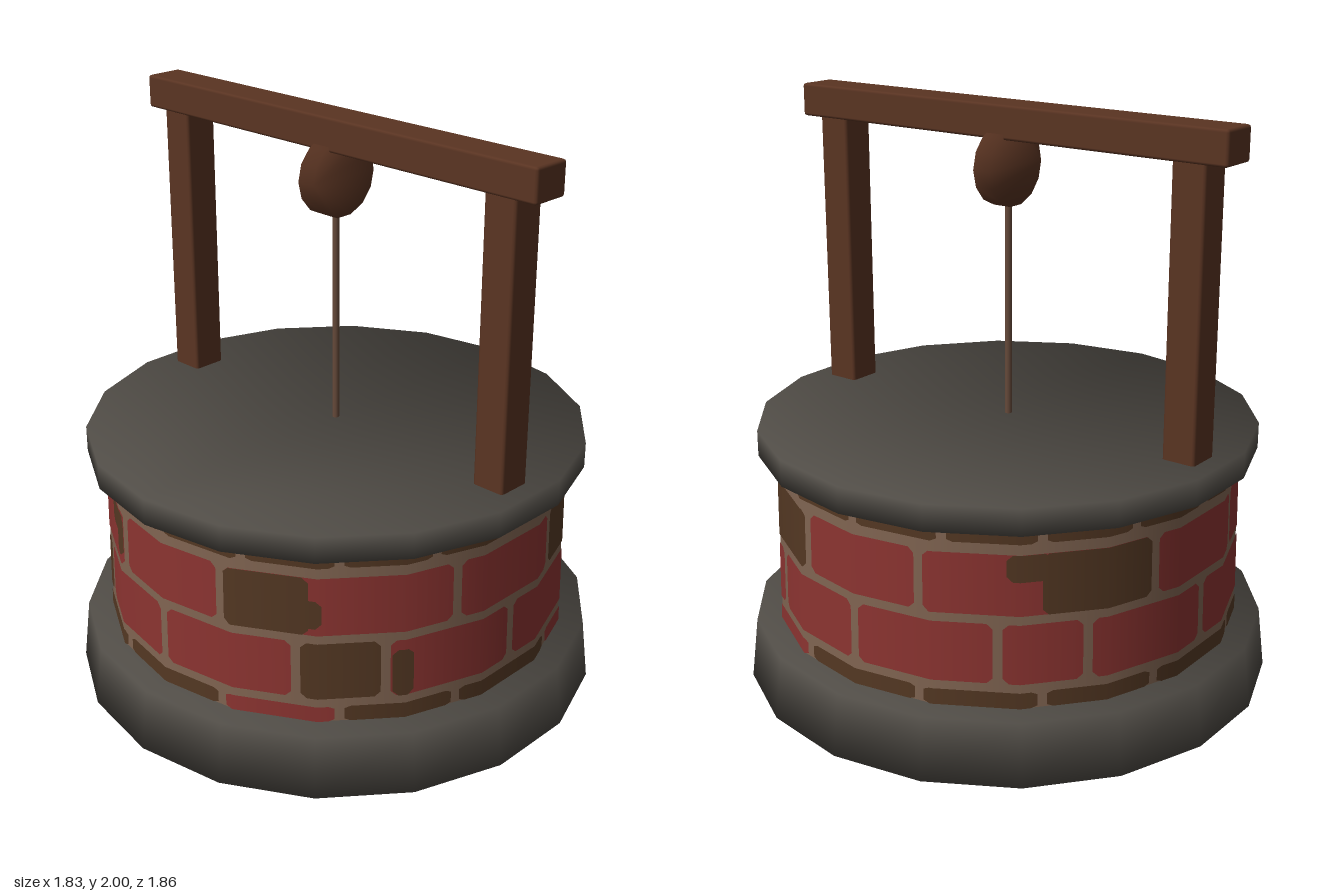
import * as THREE from 'three';
import { mergeGeometries } from 'three/addons/utils/BufferGeometryUtils.js';
import { RoundedBoxGeometry } from 'three/addons/geometries/RoundedBoxGeometry.js';

const SIDES = 18, STEP = 360 / SIDES, RAD = Math.PI / 180;
const WALL_LOW = 0.215, WALL_HIGH = 0.83;

function material(name, color) {
  const m = new THREE.MeshStandardMaterial({ color });
  m.name = name;
  return m;
}

function buildGeometry(positions, normals, index) {
  const g = new THREE.BufferGeometry();
  g.setAttribute('position', new THREE.Float32BufferAttribute(positions, 3));
  g.setAttribute('normal', new THREE.Float32BufferAttribute(normals, 3));
  g.setIndex(index);
  return g;
}

// Closed drum whose rim normals are shared by side and caps, for a soft pillowy shading
function drum(rLow, rHigh, y0, y1, sides = SIDES) {
  const pos = [], nor = [], idx = [];
  for (let i = 0; i < sides; i++) {
    const a = (i / sides) * Math.PI * 2, s = Math.sin(a), c = Math.cos(a);
    pos.push(s * rLow, y0, c * rLow, s * rHigh, y1, c * rHigh);
    nor.push(s * 0.707, -0.707, c * 0.707, s * 0.707, 0.707, c * 0.707);
    const p = 2 * i, q = 2 * ((i + 1) % sides);
    idx.push(p, q, q + 1, p, q + 1, p + 1);
    if (i > 0 && i < sides - 1) idx.push(1, p + 1, q + 1, 0, q, p);
  }
  return buildGeometry(pos, nor, idx);
}

// Radius of the many-sided wall at an angle (degrees) and height
function wallRadius(deg, y) {
  const t = (y - WALL_LOW) / (WALL_HIGH - WALL_LOW);
  const within = (((deg % STEP) + STEP) % STEP) - STEP / 2;
  return (0.815 - 0.01 * t) * Math.cos((STEP / 2) * RAD) / Math.cos(within * RAD);
}

// Thin brick face that follows the wall, with clipped corners
function brick(a0, a1, y0, y1, lift = 0.003, corner = 0.018) {
  const angles = [a0, a0 + 1.4, a1 - 1.4, a1];
  for (let a = Math.ceil(a0 / STEP) * STEP; a < a1; a += STEP) {
    if (a > a0 + 1.4 && a < a1 - 1.4) angles.push(a);
  }
  angles.sort((p, q) => p - q);
  const pos = [], nor = [], idx = [];
  angles.forEach((a, j) => {
    const inset = j === 0 || j === angles.length - 1 ? corner : 0;
    const s = Math.sin(a * RAD), c = Math.cos(a * RAD);
    for (const y of [y0 + inset, y1 - inset]) {
      const r = wallRadius(a, y) + lift;
      pos.push(s * r, y, c * r);
      nor.push(s, 0, c);
    }
    const k = 2 * j;
    if (j < angles.length - 1) idx.push(k, k + 2, k + 3, k, k + 3, k + 1);
  });
  return buildGeometry(pos, nor, idx);
}

export function createModel() {
  const stone = material('stone', 0x504c46);
  const wood = material('wood', 0x5a3422);
  const rope = material('rope', 0x664a3a);
  const mortar = material('mortar', 0x806451);
  const redBrick = material('red brick', 0x8c3431);
  const brownBrick = material('brown brick', 0x543823);

  const well = new THREE.Group();
  well.name = 'well';
  const add = (name, geometry, mat, x = 0, y = 0, z = 0) => {
    const mesh = new THREE.Mesh(geometry, mat);
    mesh.name = name;
    mesh.position.set(x, y, z);
    well.add(mesh);
    return mesh;
  };

  // Stone foot and lid
  add('base', drum(0.93, 0.905, 0, WALL_LOW), stone);
  add('lid', drum(0.87, 0.87, WALL_HIGH, 0.92), stone);

  // Mortar wall behind the bricks
  const wallHeight = WALL_HIGH - WALL_LOW;
  add('wall', new THREE.CylinderGeometry(0.805, 0.815, wallHeight, SIDES, 1, true),
    mortar, 0, WALL_LOW + wallHeight / 2, 0);

  // Brick courses: joints repeat every quarter turn
  const red = [], brown = [];
  for (let quarter = 0; quarter < 4; quarter++) {
    const o = quarter * 90, gap = 1.1;
    // bottom course
    [[-17, 17], [17, 45], [45, 73]].forEach(([a, b], i) => {
      const isRed = (quarter === 0 && i === 1) || (quarter === 1 && i > 0);
      (isRed ? red : brown).push(brick(o + a + gap, o + b - gap, WALL_LOW, 0.27, 0.003, 0.008));
    });
    // second course
    [[0, 35], [35, 55.5], [55.5, 90]].forEach(([a, b], i) => {
      const isBrown = i === 1 && (quarter === 0 || quarter === 3);
      (isBrown ? brown : red).push(brick(o + a + gap, o + b - gap, 0.3, 0.505));
    });
    // third course
    red.push(brick(o - 17 + gap, o + 17 - gap, 0.535, 0.74));
    (quarter === 1 ? brown : red).push(brick(o + 17 + gap, o + 73 - gap, 0.535, 0.74));
    // top course
    [0, 22.5, 45, 67.5].forEach((a) =>
      brown.push(brick(o + a + gap, o + a + 22.5 - gap, 0.775, WALL_HIGH, 0.003, 0.008)));
  }

  // Worn patches on some bricks
  brown.push(
    brick(18.1, 38, 0.535, 0.74, 0.005),
    brick(36, 41, 0.56, 0.66, 0.005),
    brick(225, 251.9, 0.535, 0.74, 0.005),
    brick(217, 227, 0.65, 0.74, 0.005),
    brick(332, 341.5, 0.65, 0.74, 0.005),
    brick(338, 341.9, 0.57, 0.72, 0.005),
    brick(57, 62, 0.3, 0.47, 0.005),
    brick(304, 307, 0.32, 0.48, 0.005),
  );
  red.push(brick(129, 137, 0.78, WALL_HIGH, 0.005), brick(133, 136, 0.645, 0.665, 0.005, 0.008));
  add('redBricks', mergeGeometries(red), redBrick);
  add('brownBricks', mergeGeometries(brown), brownBrick);

  // Timber frame
  for (const side of [-1, 1]) {
    add(side > 0 ? 'leftPost' : 'rightPost',
      new RoundedBoxGeometry(0.12, 1.0, 0.124, 1, 0.01), wood, side * 0.73, 1.4, 0);
  }
  add('crossBeam', new RoundedBoxGeometry(1.735, 0.115, 0.14, 1, 0.01), wood, 0, 1.9425, 0);

  // Pulley wheel under the beam and its rope
  const wheel = add('pulley', drum(0.142, 0.142, -0.034, 0.034, 14), wood, 0, 1.79, 0);
  wheel.rotation.z = Math.PI / 2;
  wheel.scale.x = 0.95;
  add('rope', new THREE.CylinderGeometry(0.012, 0.012, 0.82, 8), rope, -0.003, 1.3, 0);

  return well;
}
